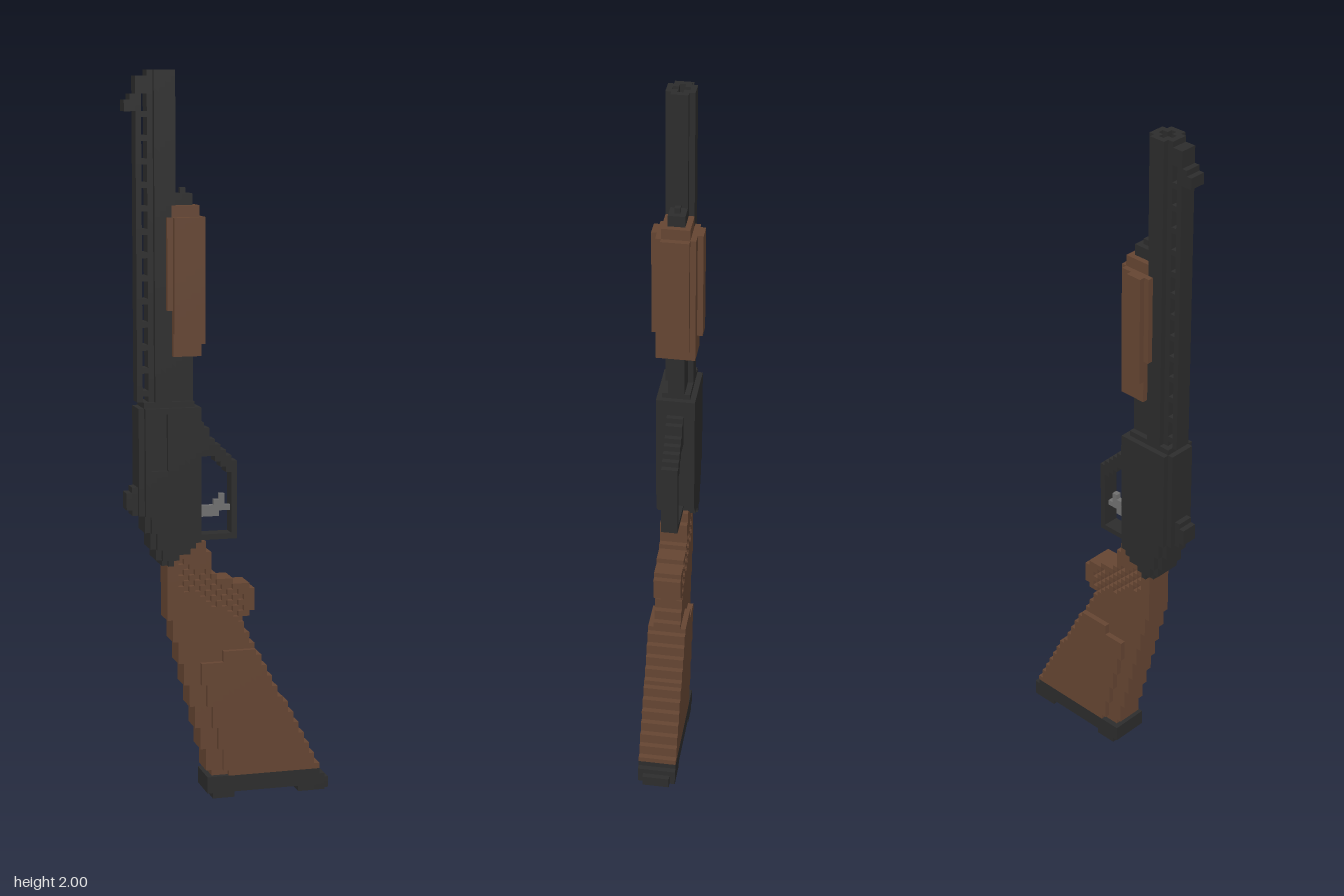
import * as THREE from 'three';

const V = 2 / 129;          // edge of one cube; grid is 37 columns x 129 rows
const CENTRE = 18;          // column lying on x = 0

export function createModel() {
  const steel = new THREE.MeshStandardMaterial({ color: 0x2c2c2c });
  steel.name = 'dark steel';
  const wood = new THREE.MeshStandardMaterial({ color: 0x654532 });
  wood.name = 'brown wood';
  const silver = new THREE.MeshStandardMaterial({ color: 0x707070 });
  silver.name = 'grey metal';

  const cells = new Map();
  const key = (c, r, z) => `${c},${r},${z}`;
  // Fill (or, with part = null, carve) columns c0..c1, rows r0..r1, depth z0..z1
  const fill = (part, c0, c1, r0, r1, z0, z1) => {
    for (let c = c0; c <= c1; c++)
      for (let r = r0; r <= r1; r++)
        for (let z = z0; z <= z1; z++)
          if (part) cells.set(key(c, r, z), { part, c, r, z });
          else cells.delete(key(c, r, z));
  };
  const sym = (part, c0, c1, r0, r1, h) => fill(part, c0, c1, r0, r1, -h, h);
  // Value of a stepped profile: last entry whose row is <= r
  const step = (table, r) => table.filter(([row]) => row <= r).pop()[1];

  // Stock: slanted, with a narrow grip above a thicker body
  const rightEdge = [[28, 21], [30, 20], [33, 21], [34, 22], [38, 21], [39, 18],
    [40, 15], [41, 14], [45, 13]];
  for (let r = 4; r <= 46; r++) {
    const left = r < 36 ? Math.round(14.6 - (r - 4) * 0.25) : 7;
    const right = r < 28 ? Math.round(34 - (r - 4) * 13 / 24) : step(rightEdge, r);
    sym('stock', left, right, r, r, 2);
    sym('stock', left, left, r, r, 1);
    if (r <= 26) sym('stock', left + (r > 24 ? 8 : 3), right, r, r, 3);
  }
  // Chequered grip: every other surface cube is sunk
  for (let r = 32; r <= 43; r++)
    for (let c = 9; c <= 20; c++) {
      const along = r + 0.6 * (c - 9);
      if (along > 38.5 && along < 43.5 && (c + r) % 2 === 0)
        for (const z of [-2, 2]) fill(null, c, c, r, r, z, z);
    }

  // Butt plate with two feet
  sym('buttPlate', 14, 34, 2, 3, 3);
  sym('buttPlate', 14, 35, 1, 2, 3);
  sym('buttPlate', 15, 18, 0, 0, 3);
  sym('buttPlate', 31, 35, 0, 0, 3);
  sym('buttPlate', 36, 36, 0, 1, 2);

  // Barrel with rounded corners and a sunken bore
  sym('barrel', 4, 8, 72, 128, 1);
  sym('barrel', 5, 7, 72, 128, 2);
  sym(null, 5, 7, 126, 128, 0);
  sym(null, 6, 6, 126, 128, 1);

  // Ventilated rib and front sight
  sym('rib', 2, 2, 72, 126, 1);
  for (let r = 73; r <= 126; r += 4) sym('rib', 3, 3, r, r, 1);
  sym('frontSight', 3, 3, 126, 127, 1);
  sym('frontSight', 2, 2, 122, 127, 1);
  sym('frontSight', 1, 1, 122, 124, 1);
  sym('frontSight', 0, 0, 122, 123, 1);

  // Magazine tube and its cap
  sym('magazineTube', 9, 11, 72, 107, 1);
  sym('magazineTube', 10, 10, 108, 108, 0);

  // Forearm: wraps the tube and hugs the barrel, stepped at both ends
  const forearmHalf = [3, 4, 4, 4, 3, 3, 2];
  for (let r = 80; r <= 105; r++) {
    const end = r < 82 || r > 103;
    const taper = r > 103 ? 2 : r < 84 ? 3 : 4;
    forearmHalf.forEach((h, i) => {
      const c = 7 + i;
      if ((end && (i === 0 || i === 6)) || (i === 0 && r < 88)) return;
      const half = Math.min(h, taper);
      for (let z = -half; z <= half; z++)
        if (!cells.has(key(c, r, z))) fill('forearm', c, c, r, r, z, z);
    });
  }

  // Receiver, with slanted lower edge and softened spine
  const spine = [[43, 6], [44, 5], [46, 4], [49, 3], [52, 2]];
  const belly = [[43, 7], [44, 8], [45, 10], [46, 11], [47, 12]];
  for (let r = 43; r <= 70; r++) {
    const left = step(spine, r);
    sym('receiver', left + 1, step(belly, r), r, r, 3);
    sym('receiver', left, left, r, r, 2);
  }
  sym('receiver', 3, 11, 71, 71, 2);
  // Ejection port on the front side
  fill(null, 4, 6, 60, 69, 3, 3);

  // Rear sight on the spine
  sym('rearSight', 1, 1, 52, 56, 1);
  sym('rearSight', 0, 0, 53, 55, 1);

  // Trigger guard loop: sloped arm, upright and lower bar
  [[62, 67], [62, 66], [62, 64], [61, 63], [60, 62], [59, 61], [58, 60]]
    .forEach(([lo, hi], i) => sym('triggerGuard', 13 + i, 13 + i, lo, hi, 1));
  sym('triggerGuard', 19, 19, 48, 59, 1);
  sym('triggerGuard', 13, 19, 47, 47, 1);

  // Trigger
  sym('trigger', 13, 15, 51, 52, 0);
  sym('trigger', 16, 16, 51, 53, 0);
  sym('trigger', 17, 17, 52, 54, 0);
  sym('trigger', 18, 18, 52, 52, 0);

  // Build each part from the exposed cube faces only
  const sides = [[1, 0, 0], [-1, 0, 0], [0, 1, 0], [0, -1, 0], [0, 0, 1], [0, 0, -1]];
  const parts = {};
  for (const { part, c, r, z } of cells.values()) {
    const p = (parts[part] ??= { pos: [], nor: [] });
    const mid = new THREE.Vector3((c - CENTRE) * V, (r + 0.5) * V, z * V);
    for (const [dx, dy, dz] of sides) {
      if (cells.has(key(c + dx, r + dy, z + dz))) continue;
      const n = new THREE.Vector3(dx, dy, dz);
      const u = new THREE.Vector3(Math.abs(dy), Math.abs(dz), Math.abs(dx));
      const w = n.clone().cross(u);
      for (const [a, b] of [[-1, -1], [1, -1], [1, 1], [-1, -1], [1, 1], [-1, 1]]) {
        const q = mid.clone().addScaledVector(n, V / 2)
          .addScaledVector(u, a * V / 2).addScaledVector(w, b * V / 2);
        p.pos.push(q.x, q.y, q.z);
        p.nor.push(dx, dy, dz);
      }
    }
  }

  const group = new THREE.Group();
  group.name = 'pumpShotgun';
  const special = { stock: wood, forearm: wood, trigger: silver };
  for (const [name, { pos, nor }] of Object.entries(parts)) {
    const geometry = new THREE.BufferGeometry();
    geometry.setAttribute('position', new THREE.Float32BufferAttribute(pos, 3));
    geometry.setAttribute('normal', new THREE.Float32BufferAttribute(nor, 3));
    const mesh = new THREE.Mesh(geometry, special[name] ?? steel);
    mesh.name = name;
    group.add(mesh);
  }
  return group;
}
